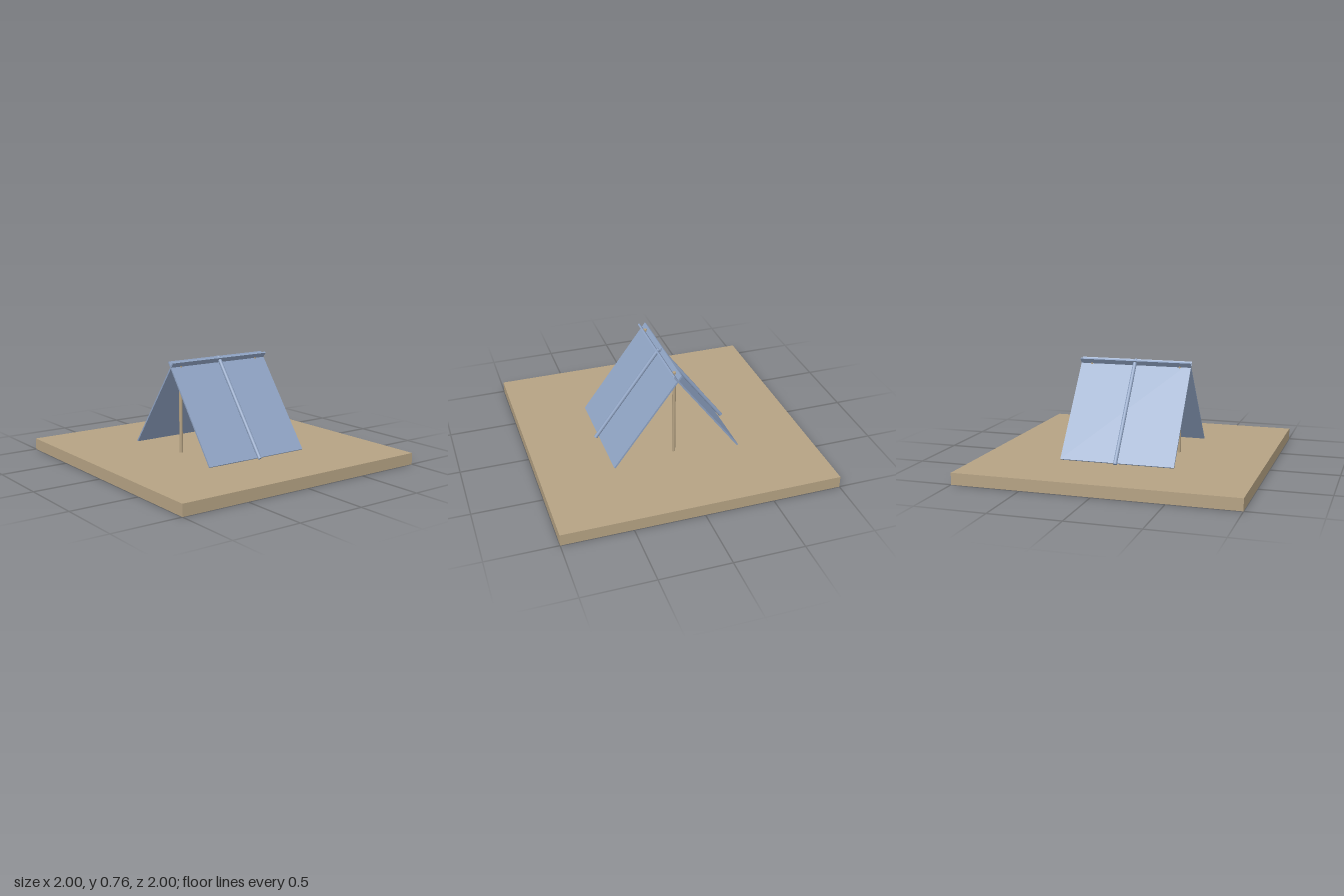
import * as THREE from 'three';

export function createModel() {
  const model = new THREE.Group();
  model.name = 'leanToShelter';
  const tan = new THREE.MeshStandardMaterial({ color: 0xb5a283 });
  tan.name = 'tan';
  const blue = new THREE.MeshStandardMaterial({ color: 0x8fa3c3 });
  blue.name = 'slateBlue';

  const add = (name, geometry, material, x, y, z, tilt = 0) => {
    const mesh = new THREE.Mesh(geometry, material);
    mesh.name = name;
    mesh.position.set(x, y, z);
    mesh.rotation.z = tilt;
    model.add(mesh);
  };

  // Places a part along a sloping line in the xy plane; make(length) gives its geometry along y
  const addSloped = (name, make, x0, y0, x1, y1) => {
    const dx = x1 - x0, dy = y1 - y0;
    add(name, make(Math.hypot(dx, dy)), blue, (x0 + x1) / 2, (y0 + y1) / 2, 0, Math.atan2(-dx, dy));
  };

  // Ground slab
  const ground = 0.084;
  add('groundSlab', new THREE.BoxGeometry(2, ground, 2), tan, 0, ground / 2, 0);

  // Roof panels crossing at the ridge, each with a rod on its outer face
  for (const s of [1, -1]) {
    const side = s > 0 ? 'left' : 'right';
    addSloped(side + 'RoofPanel', (l) => new THREE.BoxGeometry(0.012, l, 0.832),
      s * 0.465, 0.088, s * -0.028, 0.75);
    addSloped(side + 'RoofRod', (l) => new THREE.CylinderGeometry(0.014, 0.014, l, 16),
      s * 0.494, 0.09, s * 0.002, 0.75);
  }

  // Upright poles under the ridge
  const top = 0.742;
  for (const s of [1, -1]) {
    add(s > 0 ? 'frontPole' : 'backPole', new THREE.CylinderGeometry(0.0125, 0.0125, top - ground, 16),
      tan, 0, (top + ground) / 2, s * 0.333);
  }
  return model;
}
